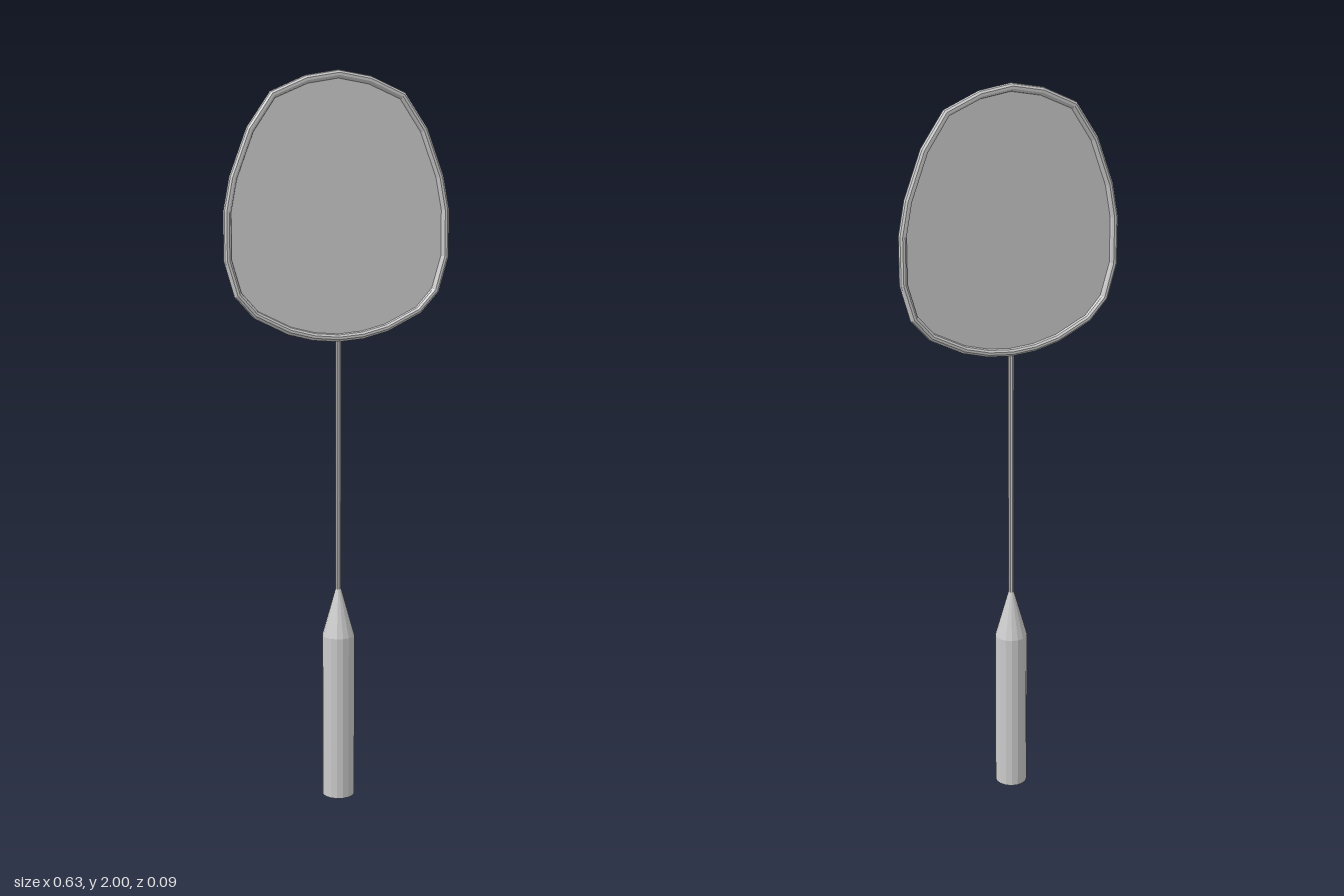
import * as THREE from 'three';

// Outer half outline of the head, top to bottom: x, y, tube half depth
const HALF = [
  [0, 2, 0.0115], [0.09, 1.985, 0.0115], [0.186, 1.943, 0.0115], [0.25, 1.85, 0.0115],
  [0.297, 1.725, 0.0115], [0.314, 1.635, 0.0115], [0.314, 1.507, 0.0115],
  [0.286, 1.412, 0.0135], [0.235, 1.355, 0.0115], [0.14, 1.308, 0.0115],
  [0.07, 1.29, 0.0115], [0, 1.284, 0.0115],
];
const TUBE = 0.011;

// Closed clockwise ring: centre point, outward mitre direction and depth
function headRing() {
  const left = HALF.slice(1, -1).reverse().map(([x, y, d]) => [-x, y, d]);
  const outline = [...HALF, ...left];
  const n = outline.length;
  return outline.map(([x, y, depth], i) => {
    const p = outline[(i + n - 1) % n];
    const q = outline[(i + 1) % n];
    const a = new THREE.Vector2(p[1] - y, x - p[0]).normalize();
    const b = new THREE.Vector2(y - q[1], q[0] - x).normalize();
    const out = a.add(b).normalize();
    return { x: x - out.x * TUBE, y: y - out.y * TUBE, out, depth };
  });
}

// Tube swept around the ring
function frameGeometry(ring, sides = 10) {
  const pos = [];
  const index = [];
  const n = ring.length;
  ring.forEach(({ x, y, out, depth }, i) => {
    for (let j = 0; j < sides; j++) {
      const a = (j / sides) * Math.PI * 2;
      const r = Math.cos(a) * TUBE;
      pos.push(x + out.x * r, y + out.y * r, Math.sin(a) * depth);
      const k = (j + 1) % sides;
      const next = ((i + 1) % n) * sides;
      index.push(i * sides + j, i * sides + k, next + j);
      index.push(i * sides + k, next + k, next + j);
    }
  });
  const geo = new THREE.BufferGeometry();
  geo.setAttribute('position', new THREE.Float32BufferAttribute(pos, 3));
  geo.setIndex(index);
  geo.computeVertexNormals();
  return geo;
}

export function createModel() {
  const group = new THREE.Group();
  const solid = new THREE.MeshStandardMaterial({ color: 0xcccccc, flatShading: true });
  const sheet = new THREE.MeshStandardMaterial({ color: 0xcccccc, side: THREE.DoubleSide });

  const add = (name, geometry, material = solid) => {
    const mesh = new THREE.Mesh(geometry, material);
    mesh.name = name;
    group.add(mesh);
  };
  // Upright round part between two heights
  const post = (name, rTop, rBottom, y0, y1, sides, open = false) => {
    const geo = new THREE.CylinderGeometry(rTop, rBottom, y1 - y0, sides, 1, open);
    add(name, geo.translate(0, (y0 + y1) / 2, 0));
  };

  // Handle and shaft
  post('grip', 0.045, 0.045, 0, 0.465, 16);
  post('gripCone', 0.008, 0.045, 0.465, 0.597, 16, true);
  post('shaft', 0.008, 0.008, 0.58, 1.295, 10);

  // Head frame with a thin sheet for the strings
  const ring = headRing();
  add('headFrame', frameGeometry(ring));
  const face = new THREE.Shape(ring.map(({ x, y }) => new THREE.Vector2(x, y)));
  add('stringBed', new THREE.ShapeGeometry(face), sheet);

  return group;
}
